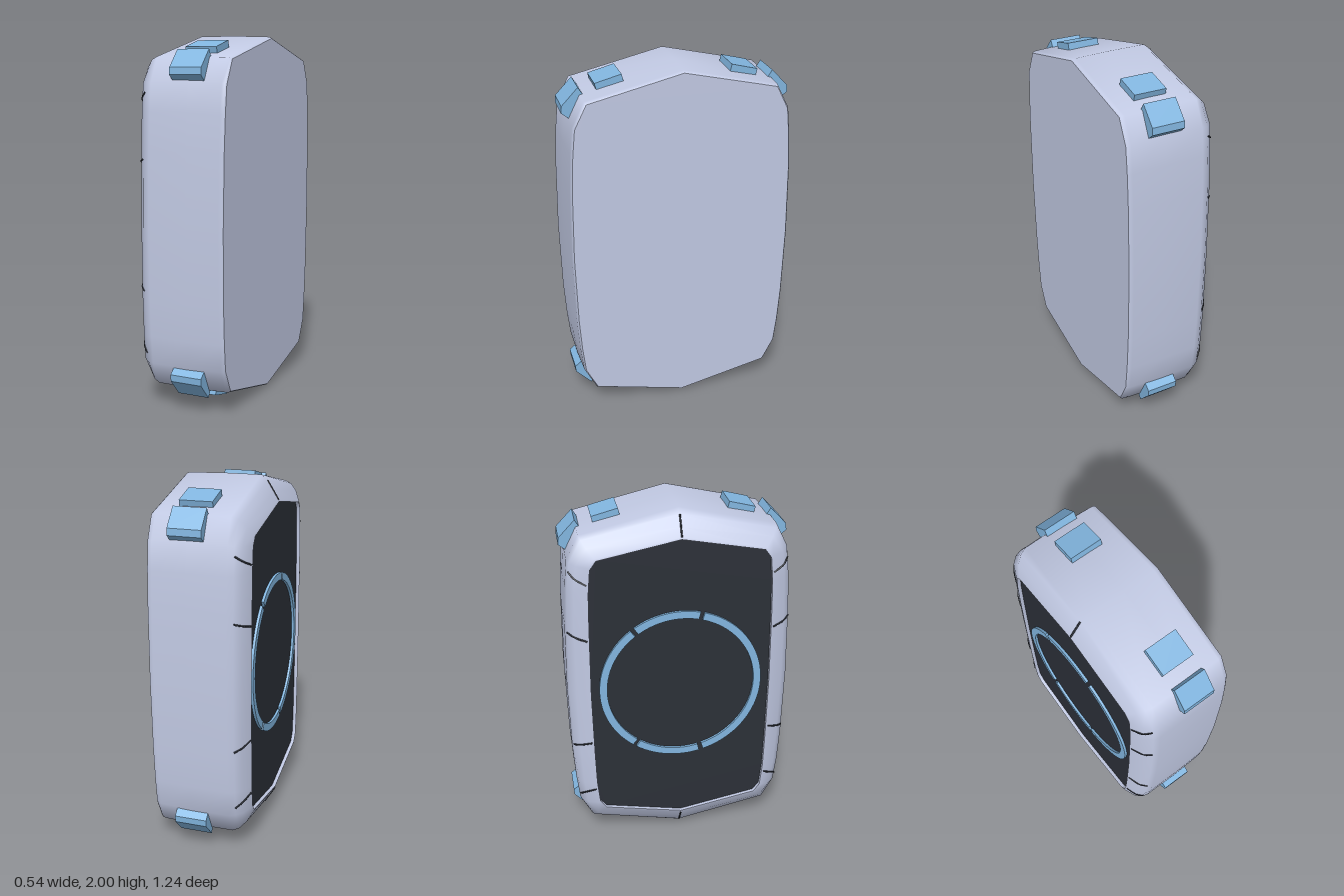
import * as THREE from 'three';

const shellGrey = new THREE.MeshStandardMaterial({ color: 0xc2cae4 });
const panelDark = new THREE.MeshStandardMaterial({ color: 0x2c3038 });
const accentBlue = new THREE.MeshStandardMaterial({ color: 0x82b6e0 });
shellGrey.name = 'shellGrey';
panelDark.name = 'panelDark';
accentBlue.name = 'accentBlue';

// Quarter outlines as [z, y] from the middle of the side to the top ridge
const OUTER = [[0.622, 0], [0.614, 0.4], [0.602, 0.6], [0.586, 0.75], [0.52, 0.88], [0, 1]];
const SHOULDER = [[0.612, 0], [0.604, 0.4], [0.593, 0.6], [0.576, 0.745], [0.51, 0.865], [0, 0.972]];
const CHAMFER = [[0.576, 0], [0.57, 0.4], [0.56, 0.6], [0.545, 0.742], [0.487, 0.83], [0, 0.915]];
const LIP = [[0.508, 0], [0.503, 0.4], [0.498, 0.6], [0.485, 0.735], [0.45, 0.783], [0, 0.87]];

// Mirror a quarter outline into a closed loop
function fullLoop(quarter) {
  const half = [...quarter, ...quarter.slice(0, -1).reverse().map(([z, y]) => [-z, y])];
  return [...half, ...half.slice(1, -1).reverse().map(([z, y]) => [z, -y])];
}

const shrink = (loop, d) => loop.map(([z, y]) => [z * (1 - d / 0.62), y * (1 - d)]);
const toShape = (points) => new THREE.Shape(points.map(([a, b]) => new THREE.Vector2(a, b)));

function add(parent, name, geometry, material) {
  const mesh = new THREE.Mesh(geometry, material);
  mesh.name = name;
  parent.add(mesh);
}

// Skin through loops stacked along x
function loftAlongX(sections) {
  const positions = [], index = [];
  const n = sections[0].loop.length;
  for (const { x, loop } of sections) for (const [z, y] of loop) positions.push(x, y, z);
  for (let i = 0; i < sections.length - 1; i++) {
    for (let j = 0; j < n; j++) {
      const a = i * n + j, b = i * n + (j + 1) % n;
      index.push(a, a + n, b + n, a, b + n, b);
    }
  }
  const g = new THREE.BufferGeometry();
  g.setAttribute('position', new THREE.Float32BufferAttribute(positions, 3));
  g.setIndex(index);
  g.computeVertexNormals();
  return g;
}

// Extrude a [z, y] shape toward -x, starting at x
function extrudeX(shape, x, depth) {
  const g = new THREE.ExtrudeGeometry(shape, { depth, bevelEnabled: false, curveSegments: 14 });
  return g.rotateY(-Math.PI / 2).translate(x, 0, 0);
}

export function createModel() {
  const model = new THREE.Group();
  model.name = 'device';
  const body = new THREE.Group();
  body.name = 'body';
  body.position.y = 1;
  body.rotation.z = -0.005;
  model.add(body);

  // Shell: rounded chamfer on the panel side, tight rim on the other
  const outer = fullLoop(OUTER), lip = fullLoop(LIP);
  const opening = shrink(lip, 0.012), rim = shrink(outer, 0.015);
  add(body, 'shell', loftAlongX([
    { x: -0.265, loop: opening },
    { x: -0.262, loop: lip },
    { x: -0.235, loop: fullLoop(CHAMFER) },
    { x: -0.2, loop: fullLoop(SHOULDER) },
    { x: -0.165, loop: outer },
    { x: 0.05, loop: outer },
    { x: 0.235, loop: shrink(outer, 0.006) },
    { x: 0.252, loop: shrink(outer, 0.009) },
    { x: 0.26, loop: rim },
  ]), shellGrey);
  add(body, 'smoothFace', new THREE.ShapeGeometry(toShape(rim)).rotateY(Math.PI / 2).translate(0.26, 0, 0), shellGrey);

  // Shallow recess with the dark panel at its floor
  add(body, 'recessWall', loftAlongX([{ x: -0.244, loop: opening }, { x: -0.265, loop: opening }]), shellGrey);
  add(body, 'darkPanel', new THREE.ShapeGeometry(toShape(opening)).rotateY(-Math.PI / 2).translate(-0.244, 0, 0), panelDark);

  // Split ring standing on the dark panel
  const ring = new THREE.Group();
  ring.name = 'ring';
  body.add(ring);
  const cuts = [-75, 75, 126, 234, 285];
  for (let i = 0; i < 4; i++) {
    const a = THREE.MathUtils.degToRad(cuts[i] + 1.5), b = THREE.MathUtils.degToRad(cuts[i + 1] - 1.5);
    const arc = new THREE.Shape();
    arc.absarc(0, 0, 0.452, a, b, false);
    arc.absarc(0, 0, 0.41, b, a, true);
    add(ring, 'ringSegment', extrudeX(arc, -0.242, 0.016), accentBlue);
  }

  // Thin radial grooves across the chamfer
  const groove = (...points) => {
    const path = new THREE.CatmullRomCurve3(points.map((p) => new THREE.Vector3(...p)));
    add(body, 'groove', new THREE.TubeGeometry(path, 6, 0.005, 5), panelDark);
  };
  for (const sy of [1, -1]) {
    groove([-0.262, 0.87 * sy, 0], [-0.235, 0.914 * sy, 0], [-0.2, 0.971 * sy, 0]);
    for (const sz of [1, -1]) {
      groove([-0.262, 0.32 * sy, 0.504 * sz], [-0.235, 0.34 * sy, 0.571 * sz], [-0.2, 0.355 * sy, 0.605 * sz]);
      groove([-0.262, 0.64 * sy, 0.494 * sz], [-0.235, 0.67 * sy, 0.553 * sz], [-0.2, 0.7 * sy, 0.582 * sz]);
    }
  }

  // Pads on the end slopes and wrapped over the corners
  const slopePad = [[0.439, 0.931], [0.296, 0.968], [0.284, 0.92], [0.427, 0.885]];
  const cornerPad = [[0.616, 0.788], [0.613, 0.825], [0.524, 0.918], [0.497, 0.875], [0.577, 0.757]];
  for (const sz of [1, -1]) {
    for (const sy of [1, -1]) {
      for (const [name, pad] of [['slopePad', slopePad], ['cornerPad', cornerPad]]) {
        const shape = toShape(pad.map(([z, y]) => [z * sz, y * sy]));
        add(body, name, extrudeX(shape, 0.138, 0.18), accentBlue);
      }
    }
  }
  return model;
}
